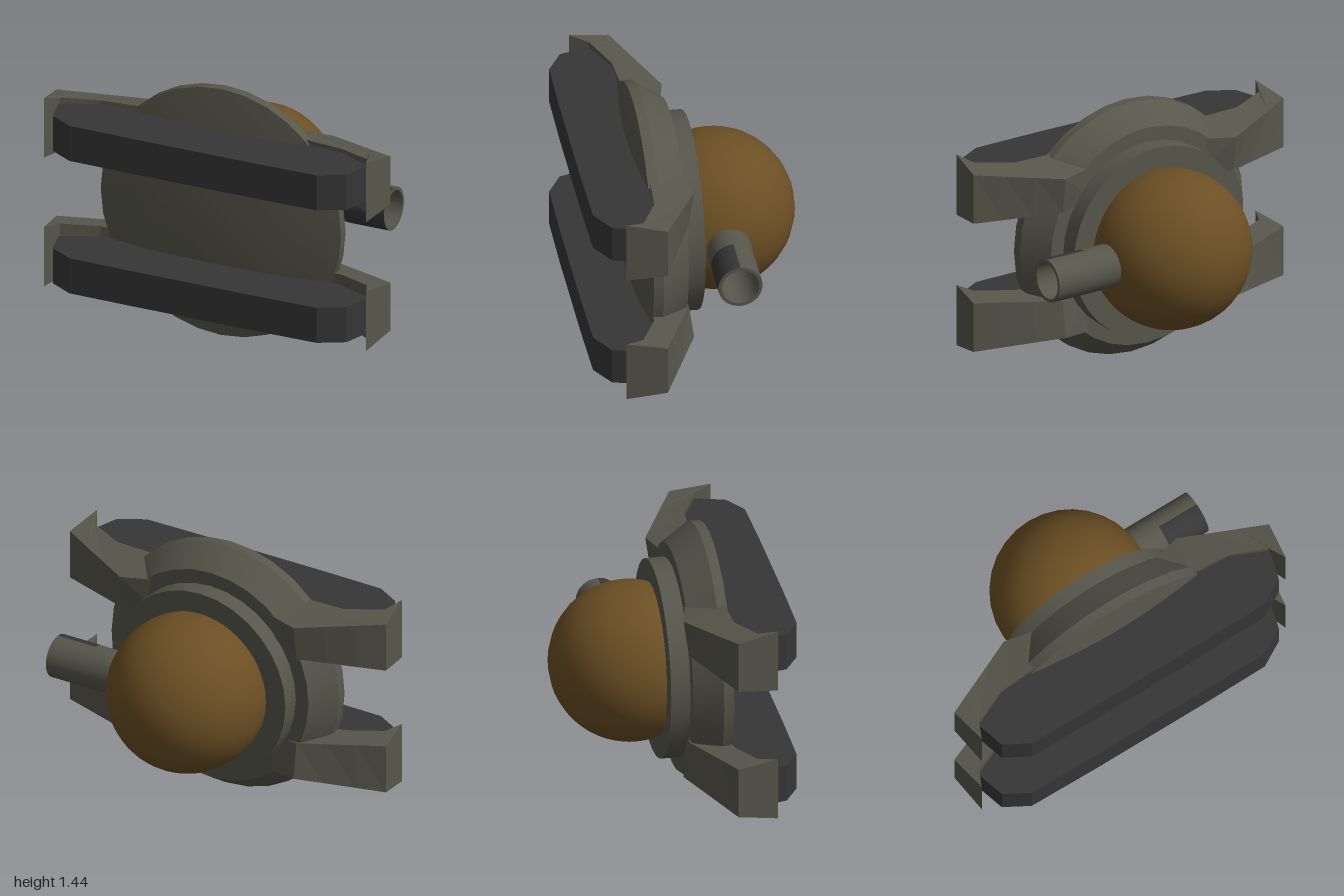
import * as THREE from 'three';
import { toCreasedNormals } from 'three/addons/utils/BufferGeometryUtils.js';

const MID = 0.725; // height of the central axis

const hullGrey = new THREE.MeshStandardMaterial({ color: 0x57564b });
hullGrey.name = 'hullGrey';
const darkGrey = new THREE.MeshStandardMaterial({ color: 0x363636 });
darkGrey.name = 'darkGrey';
const bronze = new THREE.MeshStandardMaterial({ color: 0x6b4f24 });
bronze.name = 'bronze';

function lathe(profile, segments) {
  const geo = new THREE.LatheGeometry(profile.map(([r, h]) => new THREE.Vector2(r, h)), segments);
  return toCreasedNormals(geo, 0.5);
}

// Arm lofted through four-cornered sections, mirrored by the signs sx and sy.
// Section: back x, back z top, back z bottom, back y range, front x, front z, front y range
const ARM = [
  [0.33, 0.07, 0.08, 1.0, 1.2, 0.33, 0.26, 0.96, 1.235],
  [0.55, 0.02, 0.05, 0.98, 1.183, 0.5, 0.25, 0.96, 1.24],
  [0.7, 0.092, 0.112, 0.972, 1.2, 0.72, 0.265, 0.95, 1.236],
  [0.85, 0.163, 0.173, 0.963, 1.217, 0.92, 0.355, 0.938, 1.25],
  [1.0, 0.235, 0.235, 0.955, 1.235, 0.965, 0.455, 0.928, 1.276],
];

function armGeometry(sx, sy) {
  const rings = ARM.map(([bx, bzt, bzb, b0, b1, fx, fz, f0, f1]) =>
    [[bx, b0, bzb], [bx, b1, bzt], [fx, f1, fz], [fx, f0, fz]]
      .map(([x, y, z]) => [x * sx, MID + (y - MID) * sy, z]));
  const pos = [];
  const quad = (a, b, c, d) => {
    const order = sx * sy > 0 ? [a, b, c, a, c, d] : [a, c, b, a, d, c];
    order.forEach((p) => pos.push(...p));
  };
  for (let i = 0; i < rings.length - 1; i++) {
    for (let k = 0; k < 4; k++) {
      const n = (k + 1) % 4;
      quad(rings[i][k], rings[i][n], rings[i + 1][n], rings[i + 1][k]);
    }
  }
  const first = rings[0], last = rings[rings.length - 1];
  quad(first[3], first[2], first[1], first[0]);
  quad(last[0], last[1], last[2], last[3]);
  const geo = new THREE.BufferGeometry();
  geo.setAttribute('position', new THREE.Float32BufferAttribute(pos, 3));
  geo.computeVertexNormals();
  return geo;
}

export function createModel() {
  const model = new THREE.Group();
  const add = (name, geo, material, x = 0, y = 0, z = 0) => {
    const mesh = new THREE.Mesh(geo, material);
    mesh.name = name;
    mesh.position.set(x, y, z);
    model.add(mesh);
    return mesh;
  };

  // Round body with bevelled rim, domed front and rear collar
  const body = lathe([
    [0, -0.045], [0.54, -0.045], [0.54, 0.06], [0.62, 0.06],
    [0.72, 0.21], [0.72, 0.265], [0.5, 0.302], [0.25, 0.319], [0, 0.325],
  ], 32);
  body.rotateX(Math.PI / 2);
  add('body', body, hullGrey, 0, MID, 0);

  // Rear ball
  add('ball', new THREE.SphereGeometry(0.438, 32, 24), bronze, 0, MID, -0.172);

  // Hollow side pipe
  const pipe = lathe([[0.12, 0.33], [0.12, 0.81], [0.102, 0.81], [0.102, 0.46], [0, 0.46]], 28);
  pipe.rotateZ(-Math.PI / 2);
  add('pipe', pipe, hullGrey, 0, MID, -0.19);

  // Dark front half of the pipe's outer end
  const cover = new THREE.CylinderGeometry(0.121, 0.121, 0.24, 14, 1, true, -Math.PI / 2, Math.PI);
  cover.rotateZ(-Math.PI / 2);
  add('pipeCover', cover, darkGrey, 0.69, MID, -0.19);

  // Two long pads across the front
  const half = [[0.74, 0.6], [0.88, 0.52], [0.925, 0.36], [0.87, 0.318], [0.78, 0.27], [0.62, 0.235]];
  const outline = [[0.35, 0.605], ...half];
  const points = [...outline, ...outline.slice().reverse().map(([x, z]) => [-x, z])];
  const padShape = new THREE.Shape(points.map(([x, z]) => new THREE.Vector2(x, z)));
  const pad = new THREE.ExtrudeGeometry(padShape, { depth: 0.205, bevelEnabled: false });
  pad.rotateX(Math.PI / 2);
  add('upperPad', pad, darkGrey, 0, 1.215, 0);
  add('lowerPad', pad, darkGrey, 0, 0.44, 0);

  // Four arms holding the pad ends
  for (const sx of [1, -1]) {
    for (const sy of [1, -1]) {
      const name = (sy > 0 ? 'upper' : 'lower') + (sx > 0 ? 'Left' : 'Right') + 'Arm';
      add(name, armGeometry(sx, sy), hullGrey);
    }
  }
  return model;
}
